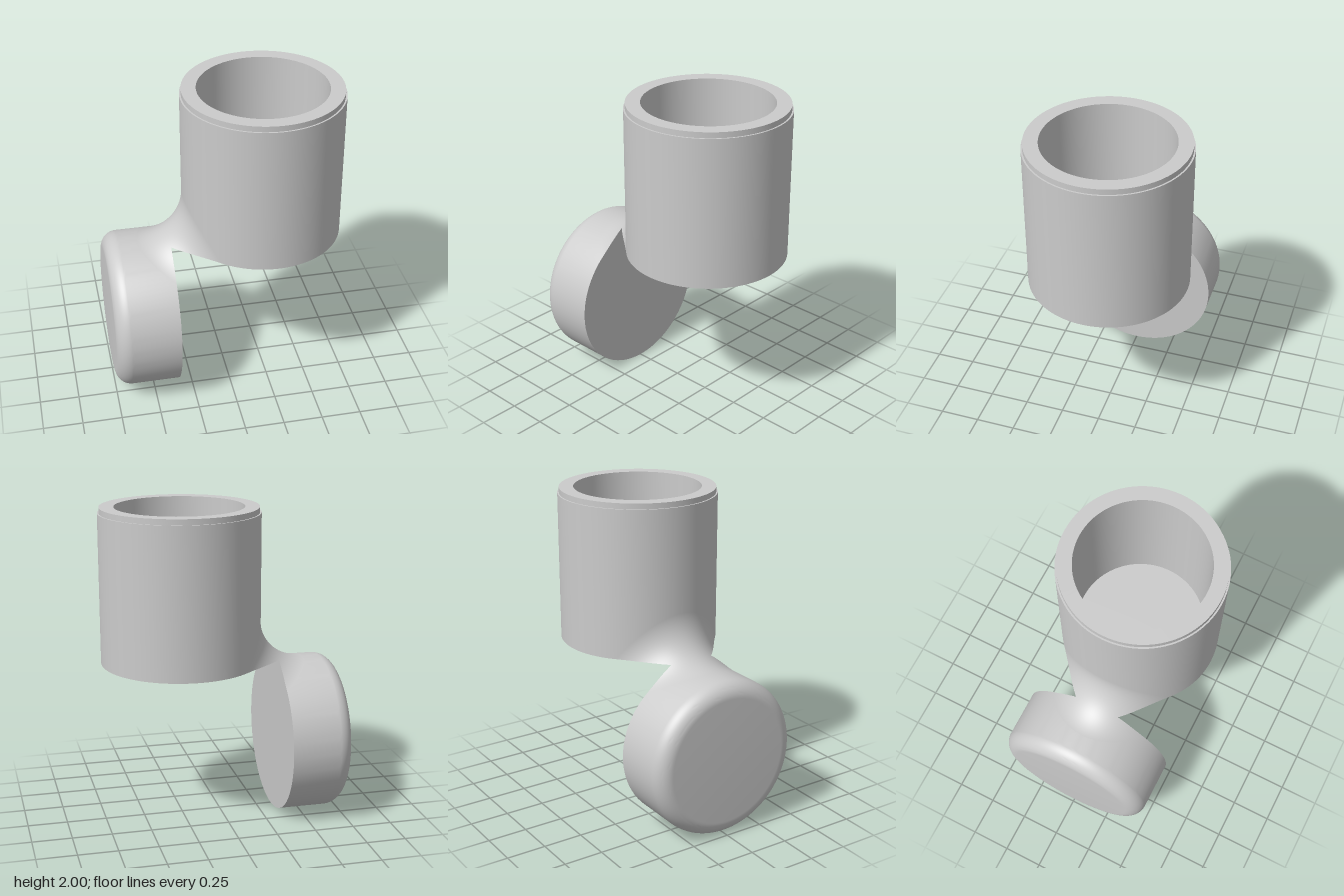
import * as THREE from 'three';
import { toCreasedNormals } from 'three/addons/utils/BufferGeometryUtils.js';

const R = 0.5;               // radius of cup and disc
const F = 0.3;               // radius of the blend between them
const D = R + F;             // distance of the blend centre from both axes
const CUP_X = 0.25, DISC_Y = 0.5;
const FACE_X = -0.35, BASE_Y = 1.025;   // flat disc face, flat cup base
const STEPS = 16;

const material = new THREE.MeshStandardMaterial({ color: 0xcccccc });

function addMesh(parent, name, geometry) {
  const mesh = new THREE.Mesh(geometry, material);
  mesh.name = name;
  parent.add(mesh);
  return mesh;
}

function lathe(points) {
  const profile = points.map(([r, y]) => new THREE.Vector2(r, y));
  return toCreasedNormals(new THREE.LatheGeometry(profile, 96), 0.5);
}

// One arc of the blend, rolled along both cylinders; low/high are where the flat faces cut it
function section(t) {
  const s = Math.sqrt(D * D - t * t);
  const omega = Math.acos((t * t) / (D * D));
  const cut = (d) => {
    const w = Math.max(0, ((s - d) * D) / (F * s));
    return Math.asin(Math.min(1, w * Math.sin(omega))) / omega;
  };
  const low = cut(CUP_X - FACE_X);
  const high = 1 - cut(BASE_Y - DISC_Y);
  const centre = new THREE.Vector3(CUP_X - s, DISC_Y + s, t);
  const toDisc = new THREE.Vector3(0, -s, -t).divideScalar(D);
  const toCup = new THREE.Vector3(s, 0, -t).divideScalar(D);
  const at = (a) => {
    const dir = toDisc.clone().multiplyScalar(Math.sin((1 - a) * omega))
      .addScaledVector(toCup, Math.sin(a * omega)).divideScalar(Math.sin(omega));
    return { point: centre.clone().addScaledVector(dir, F), normal: dir.negate() };
  };
  const mid = (low + high) / 2;
  const joined = low >= high;
  return { gap: high - low, at, low: joined ? mid : low, high: joined ? mid : high };
}

// Half-width parameter of the neck, where both cuts meet
function findNeck() {
  let a = 0, b = 0.52;
  for (let i = 0; i < 50; i++) {
    const m = (a + b) / 2;
    if (section(m).gap < 0) a = m; else b = m;
  }
  return a;
}
const NECK = findNeck();
const limit = (d) => Math.sqrt(D * D - d * d) - 1e-6;
const DISC_LIMIT = limit(CUP_X - FACE_X), CUP_LIMIT = limit(BASE_Y - DISC_Y);

function range(a, b) {
  return Array.from({ length: STEPS + 1 }, (_, i) => a + ((b - a) * i) / STEPS);
}

// Smooth strip of the blend on the disc side or the cup side of the neck
function blendGeometry(tMax, span) {
  const ts = [...range(-tMax, -NECK), ...range(-NECK, NECK).slice(1), ...range(NECK, tMax).slice(1)];
  const pos = [], nor = [], index = [], row = STEPS + 1;
  ts.forEach((t, i) => {
    const sec = section(t);
    const [a, b] = span(sec);
    range(a, b).forEach((u, j) => {
      const { point, normal } = sec.at(u);
      pos.push(...point);
      nor.push(...normal);
      if (i < ts.length - 1 && j < STEPS) {
        const p = i * row + j, q = p + row;
        index.push(p, q, p + 1, q, q + 1, p + 1);
      }
    });
  });
  const g = new THREE.BufferGeometry();
  g.setAttribute('position', new THREE.Float32BufferAttribute(pos, 3));
  g.setAttribute('normal', new THREE.Float32BufferAttribute(nor, 3));
  g.setIndex(index);
  return g;
}

// Round flat face that runs out into the neck towards +y
function faceGeometry(tMax, edge) {
  const side = range(NECK, tMax).map((t) => edge(section(t)));
  const end = side[side.length - 1];
  const a0 = Math.atan2(end.y, end.x);
  const pts = [...side];
  for (let i = 1; i < 96; i++) {
    const a = a0 - ((Math.PI + 2 * a0) * i) / 96;
    pts.push(new THREE.Vector2(R * Math.cos(a), R * Math.sin(a)));
  }
  side.reverse().forEach((p) => pts.push(new THREE.Vector2(-p.x, p.y)));
  return new THREE.ShapeGeometry(new THREE.Shape(pts));
}

export function createModel() {
  const model = new THREE.Group();
  model.name = 'cupWithDisc';

  // Open cup with a stepped rim
  const cup = addMesh(model, 'cup', lathe([
    [R, BASE_Y], [R, 1.965], [0.49, 1.965], [0.49, 2], [0.4, 2], [0.4, 1.125], [0, 1.125],
  ]));
  cup.position.x = CUP_X;

  const cupBase = faceGeometry(CUP_LIMIT, (s) => {
    const p = s.at(s.high).point;
    return new THREE.Vector2(p.z, CUP_X - p.x);
  });
  cupBase.rotateZ(Math.PI / 2).rotateX(Math.PI / 2).translate(CUP_X, BASE_Y, 0);
  addMesh(model, 'cupBase', cupBase);

  // Upright disc with a rounded outer edge
  const rim = range(0, Math.PI / 2).map((a) => [0.4 + 0.1 * Math.cos(a), 0.3 + 0.1 * Math.sin(a)]);
  const disc = addMesh(model, 'disc', lathe([[R, 0], ...rim, [0, 0.4]]));
  disc.rotation.z = Math.PI / 2;
  disc.position.set(FACE_X, DISC_Y, 0);

  const discFace = faceGeometry(DISC_LIMIT, (s) => {
    const p = s.at(s.low).point;
    return new THREE.Vector2(p.z, p.y - DISC_Y);
  });
  discFace.rotateY(Math.PI / 2).translate(FACE_X, DISC_Y, 0);
  addMesh(model, 'discFace', discFace);

  // Curved neck joining the two
  const neck = new THREE.Group();
  neck.name = 'neck';
  addMesh(neck, 'neckDiscSide', blendGeometry(DISC_LIMIT, (s) => [0, s.low]));
  addMesh(neck, 'neckCupSide', blendGeometry(CUP_LIMIT, (s) => [s.high, 1]));
  model.add(neck);

  return model;
}
